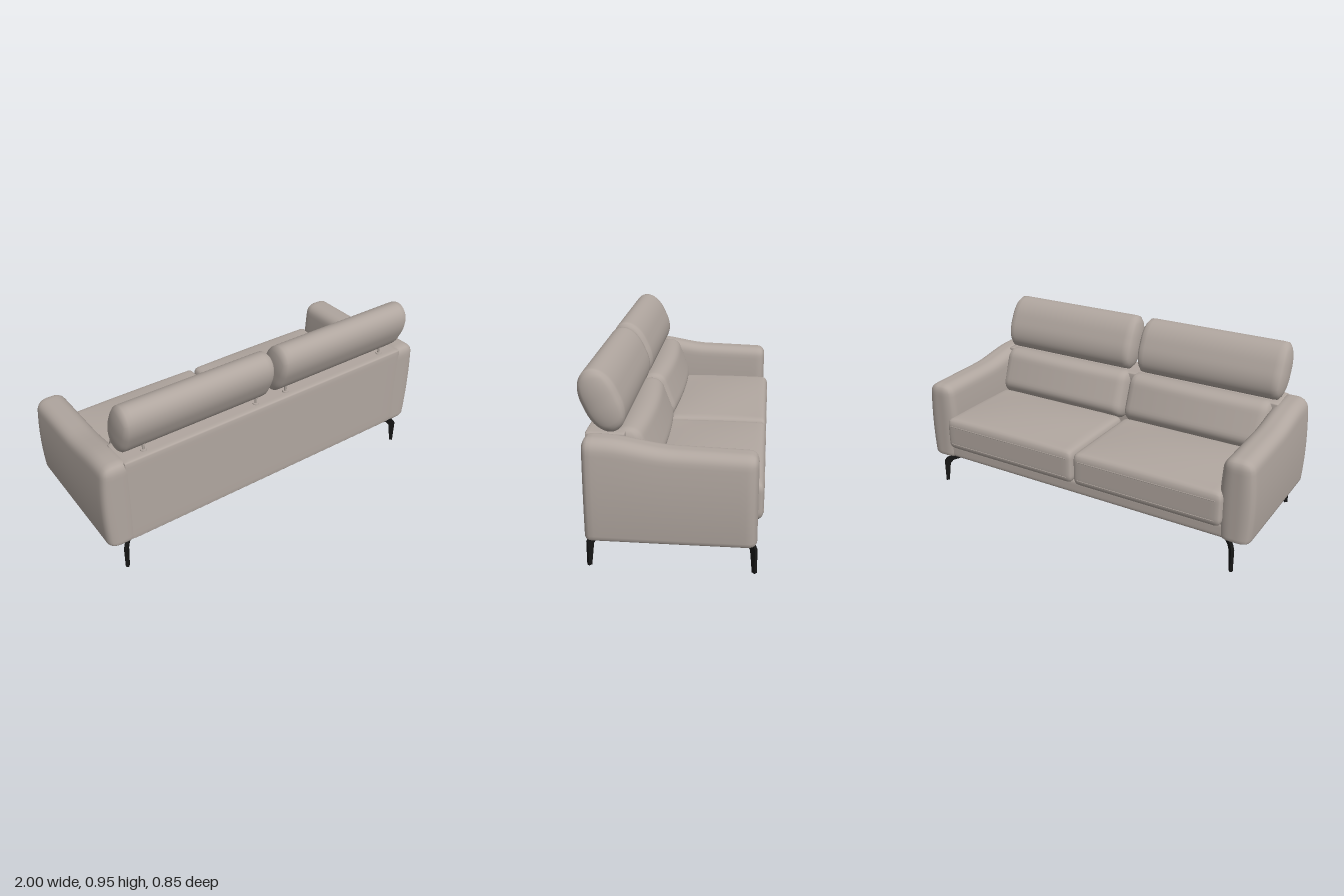
import * as THREE from 'three';
import { mergeVertices } from 'three/addons/utils/BufferGeometryUtils.js';

// Rounded block with its own radius per axis, an optional lower-edge radius and a shaping rule
function softBox(size, radii, { bottom = radii[1], shape, n = 24 } = {}) {
  let geo = new THREE.BoxGeometry(1, 1, 1, n, n, n);
  geo.deleteAttribute('uv');
  geo.deleteAttribute('normal');
  geo = mergeVertices(geo, 1e-5);
  const pos = geo.attributes.position;
  const p = new THREE.Vector3();
  for (let i = 0; i < pos.count; i++) {
    p.fromBufferAttribute(pos, i);
    const r = [radii[0], p.y < 0 ? bottom : radii[1], radii[2]];
    // crowd the vertices toward the edges, then round the edges
    const full = p.toArray().map((v, k) => Math.sin(Math.PI * v) / 2 * size[k]);
    const core = full.map((v, k) => THREE.MathUtils.clamp(v, r[k] - size[k] / 2, size[k] / 2 - r[k]));
    const dir = new THREE.Vector3(...full.map((v, k) => (v - core[k]) / r[k])).normalize().toArray();
    p.set(...core.map((v, k) => v + dir[k] * r[k]));
    if (shape) shape(p);
    pos.setXYZ(i, p.x, p.y, p.z);
  }
  geo.computeVertexNormals();
  return geo;
}

export function createModel() {
  const group = new THREE.Group();
  const leather = new THREE.MeshStandardMaterial({ name: 'taupe leather', color: 0xb0a69f });
  const black = new THREE.MeshStandardMaterial({ name: 'black metal', color: 0x151515 });

  const add = (name, geo, x, y, z, mat = leather) => {
    const mesh = new THREE.Mesh(geo, mat);
    mesh.name = name;
    mesh.position.set(x, y, z);
    group.add(mesh);
    return mesh;
  };

  // Frame: base rail and back panel
  add('base', softBox([1.74, 0.085, 0.78], [0.015, 0.02, 0.02], { n: 12 }), 0, 0.2075, 0);
  add('backPanel', softBox([1.75, 0.495, 0.19], [0.012, 0.015, 0.015], { n: 12 }), 0, 0.4125, 0.305);

  // Arm: top edge rises toward the back, sides swell slightly
  const armGeo = softBox([0.18, 0.5, 0.8], [0.07, 0.055, 0.04], {
    bottom: 0.018,
    shape: p => {
      const t = (p.y + 0.25) / 0.5;
      const top = 0.618 + 0.03 * p.z + 0.034 * THREE.MathUtils.smoothstep(p.z, -0.02, 0.3);
      p.x *= 1 - 0.6 * (t - 0.45) ** 2;
      p.y = 0.16 + t * (top - 0.16);
    },
  });

  // Seat cushion with a crowned top
  const seatGeo = softBox([0.845, 0.19, 0.55], [0.03, 0.045, 0.03], {
    shape: p => {
      if (p.y > 0) p.y += 0.025 * (p.y / 0.095) * (1 - (p.x / 0.4225) ** 2) * (1 - (p.z / 0.275) ** 2);
    },
  });
  const pipingGeo = new THREE.CylinderGeometry(0.0035, 0.0035, 0.785, 8).rotateZ(Math.PI / 2);

  // Lumbar cushion bulging forward in the middle
  const lumbarGeo = softBox([0.845, 0.28, 0.16], [0.04, 0.07, 0.078], {
    shape: p => {
      if (p.z < 0) p.z += 0.35 * p.z * (1 - (p.x / 0.4225) ** 2);
    },
  });

  // Headrest: pillow with an oval profile
  const headGeo = softBox([0.872, 0.312, 0.178], [0.04, 0.135, 0.088]);
  const postGeo = new THREE.CylinderGeometry(0.007, 0.007, 0.1, 12);
  const flangeGeo = new THREE.CylinderGeometry(0.016, 0.018, 0.008, 16);

  // Leg: bent tapering blade, running diagonally toward the centre
  const blade = new THREE.Shape([
    [0, 0], [0.018, 0], [0.033, 0.11], [0.05, 0.128], [0.138, 0.147],
    [0.138, 0.163], [0.018, 0.147], [0, 0.125],
  ].map(([x, y]) => new THREE.Vector2(x, y)));
  const legGeo = new THREE.ExtrudeGeometry(blade, { depth: 0.016, bevelEnabled: false }).translate(0, 0, -0.008);

  for (const s of [1, -1]) {
    const side = s > 0 ? 'left' : 'right';
    add(side + 'Arm', armGeo, s * 0.91, 0, 0);
    add(side + 'SeatCushion', seatGeo, s * 0.427, 0.33, -0.15);
    for (const y of [0.272, 0.382]) add(side + 'SeatPiping', pipingGeo, s * 0.427, y, -0.423);
    add(side + 'LumbarCushion', lumbarGeo, s * 0.427, 0.53, 0.195).rotation.x = 0.36;
    add(side + 'Headrest', headGeo, s * 0.448, 0.804, 0.32).rotation.x = 0.43;
    for (const x of [0.095, 0.75]) {
      add(side + 'HeadrestPost', postGeo, s * x, 0.7, 0.353);
      add(side + 'PostFlange', flangeGeo, s * x, 0.662, 0.353);
    }
    for (const z of [1, -1]) {
      const leg = add(side + (z > 0 ? 'RearLeg' : 'FrontLeg'), legGeo, s * 0.916, 0, z * 0.397, black);
      leg.rotation.y = Math.atan2(z, -s);
    }
  }
  return group;
}
